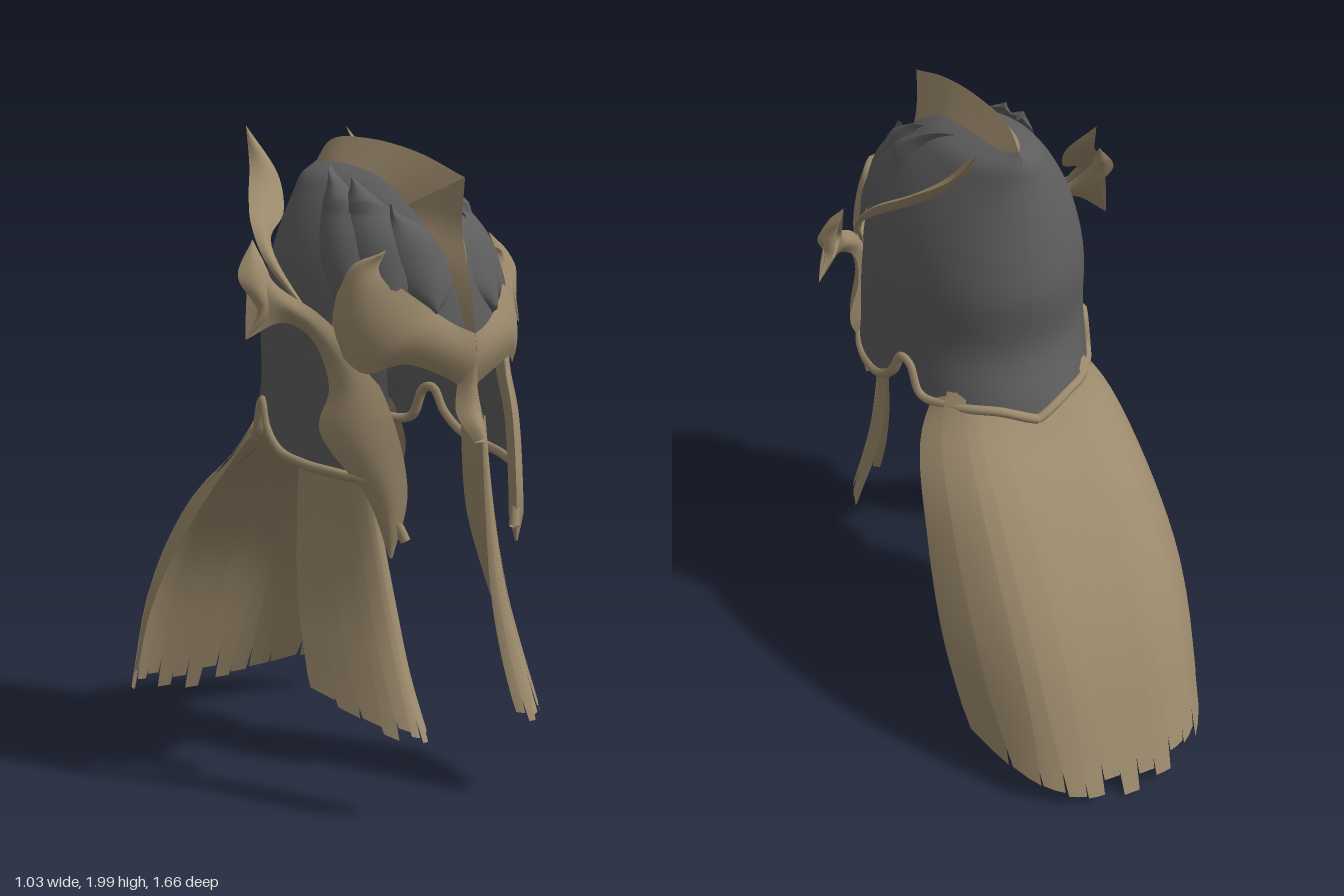
import * as THREE from 'three';

const bronze = new THREE.MeshStandardMaterial({ name: 'bronze', color: 0x9c8a6c, side: THREE.DoubleSide });
const steel = new THREE.MeshStandardMaterial({ name: 'darkSteel', color: 0x5e5e5e, side: THREE.DoubleSide });

// Helmet cross-sections by height: back z, front z, half width
const heights = [0.76, 1.0, 1.08, 1.23, 1.45, 1.6, 1.7, 1.8, 1.86, 1.9];
const sections = new THREE.CubicInterpolant(heights, new Float32Array([
  -0.2, 0.84, 0.31, -0.16, 0.82, 0.345, -0.14, 0.79, 0.345, -0.09, 0.75, 0.345, -0.11, 0.73, 0.33,
  -0.09, 0.69, 0.295, -0.07, 0.64, 0.25, -0.05, 0.52, 0.18, -0.04, 0.37, 0.115, -0.02, 0.15, 0,
]), 3);
const TOP = 1.9, BROW = 1.33, CHEEK = 0.68;

// Point on the helmet wall: angle from the front, height, distance off the wall
function onShell(angle, y, off = 0) {
  const [zb, zf, w] = sections.evaluate(y);
  return new THREE.Vector3(
    (Math.max(w, 0) + off) * Math.sin(angle), y + (y > 1.75 ? off * 0.6 : 0),
    (zb + zf) / 2 + ((zf - zb) / 2 + off) * Math.cos(angle));
}

// Smooth surface from a rule fn(u, v), turned to face away from the helmet's upright axis
function grid(nu, nv, fn) {
  const pos = [], idx = [];
  for (let i = 0; i <= nu; i++) for (let j = 0; j <= nv; j++) pos.push(...fn(i / nu, j / nv).toArray());
  for (let i = 0; i < nu; i++) for (let j = 0; j < nv; j++) {
    const a = i * (nv + 1) + j, b = a + nv + 1;
    idx.push(a, b, b + 1, a, b + 1, a + 1);
  }
  const geo = new THREE.BufferGeometry();
  geo.setAttribute('position', new THREE.Float32BufferAttribute(pos, 3));
  geo.setIndex(idx);
  geo.computeVertexNormals();
  const n = geo.attributes.normal;
  let facing = 0;
  for (let i = 0; i < n.count; i++) facing += n.getX(i) * pos[3 * i] + n.getZ(i) * (pos[3 * i + 2] - 0.3);
  if (facing < 0) {
    geo.setIndex(idx.reverse());
    geo.computeVertexNormals();
  }
  return geo;
}

const curve = (pts) => new THREE.CatmullRomCurve3(pts.map((p) => new THREE.Vector3(p[0], p[1], p[2] || 0)));

// Plate between two edge curves, bulging in the middle; m = -1 mirrors it.
// With shell set, the edges are given as angle, height and distance off the wall.
function blade(edgeA, edgeB, { shell = false, bulge = 0, m = 1, nu = 36, nv = 8 } = {}) {
  const a = curve(edgeA), b = curve(edgeB);
  return grid(nu, nv, (u, v) => {
    let p = a.getPoint(u);
    const across = b.getPoint(u).sub(p);
    const lift = bulge * Math.min(1, across.length() / 0.06) * Math.sin(Math.PI * v);
    p.addScaledVector(across, v);
    if (shell) p = onShell(p.x, p.y, p.z + lift);
    else p.addScaledVector(a.getTangent(u).add(b.getTangent(u)).cross(across).normalize(), lift);
    p.x *= m;
    return p;
  });
}

// Lower rim: angle from the front, height
const rim = curve([[CHEEK, 0.82], [0.76, 0.9], [0.87, 0.98], [1.1, 1.0], [1.4, 1.015], [1.65, 1.04], [1.83, 1.1],
  [1.95, 1.17], [2.05, 1.16], [2.1, 1.08], [2.4, 1.07], [2.8, 1.07], [Math.PI, 1.03]]);

// Guide paths that the strands of hair are blended between
const backMid = curve([[0.26, 1.21, -0.03], [0.32, 1.03, -0.11], [0.4, 0.83, -0.37], [0.42, 0.5, -0.63], [0.39, 0.01, -0.83]]);
const backSide = curve([[0.24, 1.12, 0.06], [0.335, 0.97, 0], [0.4, 0.72, -0.18], [0.43, 0.45, -0.35], [0.41, 0.16, -0.5]]);
const lockInner = curve([[0.21, 1.12, 0.55], [0.195, 0.87, 0.59], [0.175, 0.6, 0.65], [0.17, 0.42, 0.71], [0.165, 0.24, 0.8]]);
const lockCorner = curve([[0.24, 1.12, 0.58], [0.24, 0.87, 0.65], [0.24, 0.6, 0.74], [0.245, 0.42, 0.82], [0.25, 0.22, 0.92]]);
const lockRear = curve([[0.3, 1.12, 0.33], [0.32, 0.8, 0.34], [0.35, 0.6, 0.39], [0.365, 0.48, 0.44], [0.38, 0.34, 0.5]]);

function backHair(s, t) {
  const p = backMid.getPoint(t).lerp(backSide.getPoint(t), Math.min(1, s ** 4));
  p.x *= s;
  return p;
}

function lockHair(s, t) {
  const corner = lockCorner.getPoint(t);
  return lockInner.getPoint(t).lerp(corner, s).lerp(corner.lerp(lockRear.getPoint(t), s), s);
}

// Tapered, overlapping strands side by side, each ending at its own length
function strands(group, name, count, from, to, path, m = 1) {
  let seed = 7;
  const rand = () => (seed = (seed * 16807) % 2147483647) / 2147483647;
  const step = (to - from) / count;
  for (let i = 0; i < count; i++) {
    const mid = from + (i + 0.5) * step;
    const end = i === (count >> 1) ? 1 : 0.955 + rand() * 0.045, layer = (i % 2) * 0.01;
    add(group, name, grid(18, 2, (u, v) => {
      const half = step * (u > 0.88 ? 0.64 - (u - 0.88) * 1.6 : 0.64);
      const p = path(THREE.MathUtils.clamp(mid + (v * 2 - 1) * half, from, to), u * end);
      p.x *= m;
      p.y += layer;
      return p;
    }), bronze);
  }
}

function add(group, name, geo, mat) {
  const mesh = new THREE.Mesh(geo, mat);
  mesh.name = name;
  group.add(mesh);
}

export function createModel() {
  const model = new THREE.Group();
  model.name = 'helmet';

  // Dome above the brow
  add(model, 'dome', grid(64, 24, (u, v) =>
    onShell((u * 2 - 1) * Math.PI, BROW + (TOP - BROW) * (1 - (1 - v) ** 2))), steel);

  for (const m of [1, -1]) {
    const side = new THREE.Group();
    side.name = m > 0 ? 'leftSide' : 'rightSide';
    model.add(side);
    const plate = (name, a, b, opts, mat = bronze) => add(side, name, blade(a, b, { m, ...opts }), mat);
    const solid = (name, a, b, bulge) => {
      plate(name, a, b, { bulge });
      plate(name + 'Back', a, b, { bulge: -bulge });
    };

    // Neck and cheek wall with its rim
    add(side, 'cheekWall', grid(80, 8, (u, v) => {
      const r = rim.getPoint(u);
      const p = onShell(r.x, r.y + (BROW - r.y) * v);
      p.x *= m;
      return p;
    }), steel);
    const edge = [];
    for (let i = 0; i <= 70; i++) {
      const r = rim.getPoint(i / 70), p = onShell(r.x, r.y);
      edge.push(new THREE.Vector3(p.x * m, p.y, p.z));
    }
    add(side, 'rimTrim', new THREE.TubeGeometry(new THREE.CatmullRomCurve3(edge), 100, 0.016, 8), bronze);

    // Overlapping leaves on the dome, rear edge then front edge
    const leaf = { shell: true, bulge: 0.02 };
    plate('rearLeaf', [[1, 1.42, 0.01], [1.15, 1.53, 0.01], [1.32, 1.66, 0.01], [1.38, 1.77, 0.01], [1.25, 1.87, 0.015]],
      [[1, 1.42, 0.01], [0.8, 1.57, 0.01], [0.85, 1.7, 0.01], [0.98, 1.79, 0.01], [1.25, 1.87, 0.015]], leaf, steel);
    plate('middleLeaf', [[0.7, 1.45, 0.015], [0.88, 1.56, 0.015], [1.02, 1.67, 0.015], [1.08, 1.76, 0.015], [0.94, 1.835, 0.02]],
      [[0.7, 1.45, 0.015], [0.42, 1.58, 0.015], [0.5, 1.7, 0.015], [0.68, 1.77, 0.015], [0.94, 1.835, 0.02]], leaf, steel);
    plate('frontLeaf', [[0.3, 1.46, 0.02], [0.55, 1.55, 0.02], [0.66, 1.65, 0.02], [0.6, 1.76, 0.02]],
      [[0.3, 1.46, 0.02], [0.12, 1.56, 0.02], [0.22, 1.68, 0.02], [0.6, 1.76, 0.02]], leaf, steel);

    // Brow sweeping up into a tip that curls forward
    plate('brow',
      [[0, 1.41, 0.045], [0.15, 1.435, 0.035], [0.3, 1.47, 0.03], [0.45, 1.51, 0.03], [0.6, 1.55, 0.03], [0.72, 1.595, 0.03], [0.68, 1.645, 0.035]],
      [[0, 1.24, 0], [0.25, 1.29, 0.01], [0.55, 1.325, 0.02], [0.88, 1.3, 0.02], [1.09, 1.41, 0.02], [1.02, 1.57, 0.025], [0.68, 1.645, 0.035]],
      { shell: true, bulge: 0.02, nv: 12 });

    // Crest, front slope and top ridge
    plate('crestFront', [[0, 1.36, 0.79], [0, 1.55, 0.755], [0, 1.7, 0.715], [0, 1.85, 0.725]],
      [[0.006, 1.36, 0.77], [0.03, 1.55, 0.71], [0.06, 1.68, 0.64], [0.07, 1.77, 0.55]]);
    plate('crestTop', [[0, 1.85, 0.725], [0, 1.92, 0.5], [0, 1.96, 0.25], [0, 1.955, 0.05], [0, 1.88, -0.04]],
      [[0.07, 1.77, 0.55], [0.065, 1.84, 0.42], [0.06, 1.88, 0.25], [0.045, 1.89, 0.08], [0, 1.87, -0.04]]);

    // Swept-back wing
    solid('wing',
      [[0.19, 2, -0.14], [0.235, 1.88, -0.05], [0.32, 1.78, 0.08], [0.385, 1.7, 0.2], [0.4, 1.6, 0.3], [0.35, 1.48, 0.4]],
      [[0.19, 2, -0.14], [0.175, 1.85, 0.02], [0.22, 1.74, 0.12], [0.33, 1.67, 0.22], [0.37, 1.6, 0.32], [0.33, 1.46, 0.42]], 0.014);

    // Cheek plate rising into a forked horn
    solid('cheekPlate',
      [[0.23, 0.77, 0.7], [0.2, 0.95, 0.73], [0.215, 1.15, 0.69], [0.25, 1.32, 0.6], [0.34, 1.46, 0.49], [0.425, 1.55, 0.38], [0.44, 1.67, 0.29]],
      [[0.235, 0.77, 0.69], [0.27, 0.93, 0.64], [0.355, 1.13, 0.51], [0.32, 1.25, 0.51], [0.35, 1.39, 0.46], [0.42, 1.435, 0.42], [0.51, 1.385, 0.36]], 0.022);
    solid('hornFork',
      [[0.44, 1.67, 0.29], [0.515, 1.565, 0.33], [0.48, 1.47, 0.37], [0.51, 1.385, 0.36]],
      [[0.44, 1.67, 0.29], [0.43, 1.56, 0.37], [0.44, 1.47, 0.4], [0.51, 1.385, 0.36]], 0.015);

    strands(side, 'cheekLock', 8, 0, 1, lockHair, m);
  }

  // Nose guard, ridged front and flat back
  const noseL = [[0.03, 1.34, 0.755], [0.038, 1.25, 0.745], [0.046, 1.18, 0.755], [0.022, 1.1, 0.81]];
  const noseR = noseL.map(([x, y, z]) => [-x, y, z]);
  add(model, 'noseGuard', blade(noseR, noseL, { bulge: 0.03 }), bronze);
  add(model, 'noseGuardBack', blade(noseR, noseL), bronze);

  strands(model, 'backHair', 13, -1, 1, backHair);
  return model;
}
